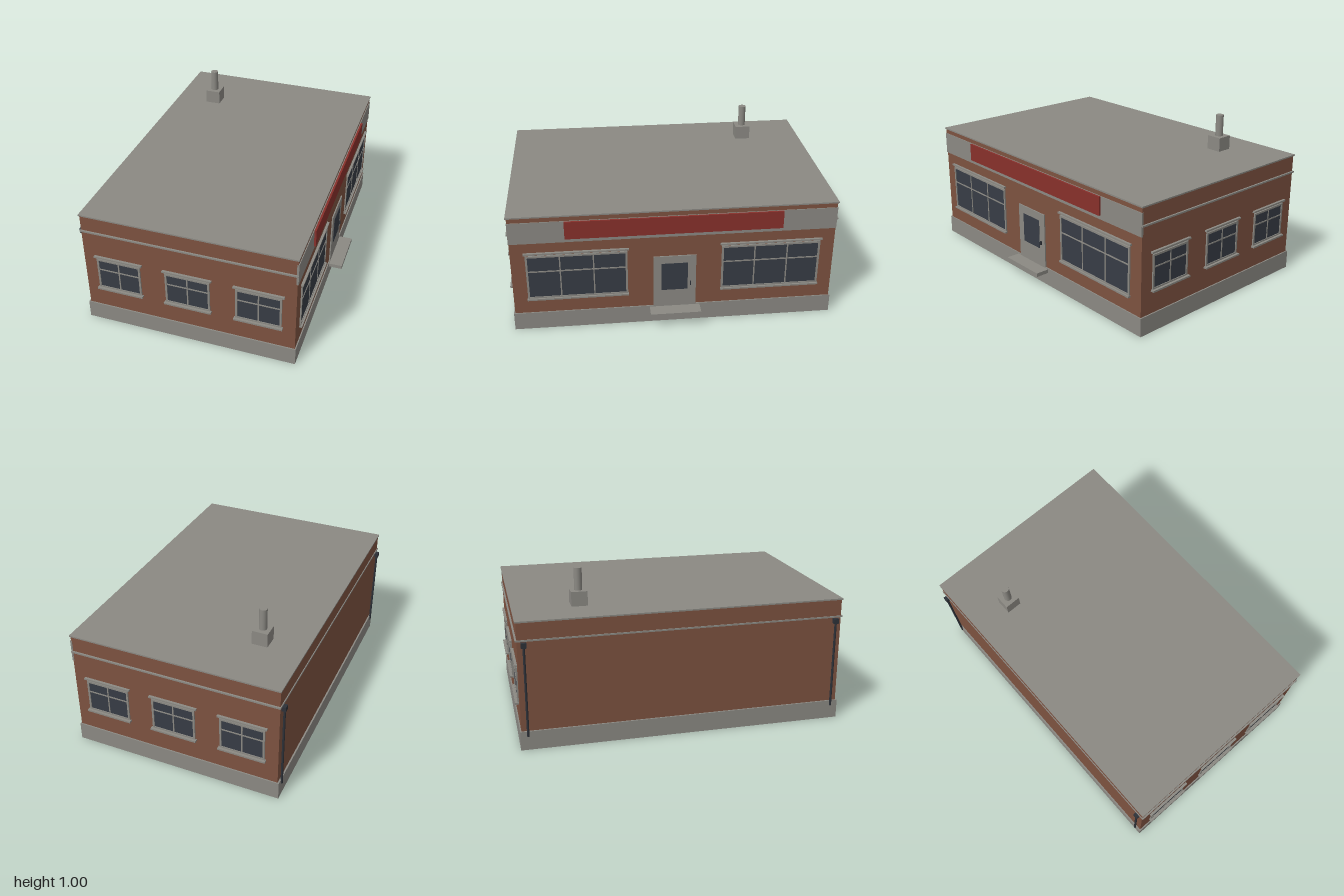
import * as THREE from 'three';

const mat = (name, color) => {
  const m = new THREE.MeshStandardMaterial({ color });
  m.name = name;
  return m;
};

export function createModel() {
  const brick = mat('brick', 0x7d5240);
  const stone = mat('stone', 0x8b8983);
  const red = mat('signRed', 0x88302b);
  const glass = mat('darkGlass', 0x373c45);
  const iron = mat('darkIron', 0x2d3138);

  const model = new THREE.Group();
  model.name = 'shopBuilding';

  // Box given by its extents along each axis
  const box = (parent, name, m, [x0, x1], [y0, y1], [z0, z1]) => {
    const mesh = new THREE.Mesh(new THREE.BoxGeometry(x1 - x0, y1 - y0, z1 - z0), m);
    mesh.position.set((x0 + x1) / 2, (y0 + y1) / 2, (z0 + z1) / 2);
    mesh.name = name;
    parent.add(mesh);
    return mesh;
  };

  // Main volume
  box(model, 'plinth', stone, [-0.7, 0.624], [0, 0.115], [-0.985, 0.985]);
  box(model, 'brickWalls', brick, [-0.69, 0.617], [0.115, 0.768], [-0.977, 0.977]);
  box(model, 'roofSlab', stone, [-0.695, 0.622], [0.768, 0.777], [-0.984, 0.984]);

  // String course on the three plain walls
  for (const s of [-1, 1]) {
    const z = s * 0.981;
    box(model, 'stringCourse', stone, [-0.695, 0.62], [0.658, 0.668], [z - 0.006, z + 0.006]);
  }
  box(model, 'stringCourseSide', stone, [-0.695, -0.685], [0.658, 0.668], [-0.985, 0.985]);

  // Fascia and blank sign board over the entrance
  box(model, 'fascia', stone, [0.61, 0.622], [0.6, 0.739], [-0.979, 0.979]);
  box(model, 'signBoard', red, [0.62, 0.634], [0.625, 0.738], [-0.65, 0.65]);

  // Window facing +z, wall plane at z = 0, centred on x = 0
  const makeWindow = ({ w, y0, y1, bars, rail, lintel, sill, sillDepth }) => {
    const g = new THREE.Group();
    g.name = 'window';
    const h = w / 2, t = 0.012, f = [-0.005, 0.008];
    box(g, 'windowGlass', glass, [-h + 0.004, h - 0.004], [y0 + 0.004, y1 - 0.004], [-0.004, 0.003]);
    for (const s of [-1, 1]) {
      const x = s * (h - t / 2);
      box(g, 'frameSide', stone, [x - t / 2, x + t / 2], [y0, y1], f);
    }
    box(g, 'frameTop', stone, [-h, h], [y1 - t, y1], f);
    box(g, 'frameBottom', stone, [-h, h], [y0, y0 + t], f);
    for (const x of bars) box(g, 'mullion', stone, [x - 0.004, x + 0.004], [y0, y1], [-0.004, 0.006]);
    box(g, 'transom', stone, [-h, h], [rail - 0.004, rail + 0.004], [-0.004, 0.006]);
    box(g, 'lintel', stone, [-lintel, lintel], [y1 + 0.01, y1 + 0.021], [-0.005, 0.015]);
    box(g, 'sill', stone, [-sill, sill], [y0 - 0.008, y0 + 0.003], [-0.005, sillDepth]);
    return g;
  };

  // Three small windows on the front and back walls
  for (const s of [-1, 1]) {
    for (const x of [-0.47, -0.037, 0.396]) {
      const win = makeWindow({
        w: 0.277, y0: 0.26, y1: 0.475, bars: [0], rail: 0.397,
        lintel: 0.152, sill: 0.147, sillDepth: 0.023,
      });
      win.position.set(x, 0, s * 0.977);
      if (s < 0) win.rotation.y = Math.PI;
      model.add(win);
    }
  }

  // Two wide shop windows either side of the door
  for (const s of [-1, 1]) {
    const win = makeWindow({
      w: 0.605, y0: 0.217, y1: 0.515, bars: [-0.1, 0.1], rail: 0.405,
      lintel: 0.312, sill: 0.306, sillDepth: 0.018,
    });
    win.name = 'shopWindow';
    win.position.set(0.617, 0, s * 0.588);
    win.rotation.y = Math.PI / 2;
    model.add(win);
  }

  // Door, glazing, handle and step
  box(model, 'door', stone, [0.61, 0.625], [0.108, 0.465], [-0.13, 0.13]);
  box(model, 'doorGlass', glass, [0.621, 0.627], [0.228, 0.415], [-0.079, 0.081]);
  box(model, 'doorHandle', iron, [0.622, 0.634], [0.258, 0.284], [-0.1, -0.094]);
  box(model, 'doorStep', stone, [0.61, 0.71], [0.085, 0.109], [-0.155, 0.155]);

  // Chimney block and flue
  box(model, 'chimneyBlock', stone, [-0.478, -0.381], [0.775, 0.865], [-0.637, -0.54]);
  const flue = new THREE.Mesh(new THREE.CylinderGeometry(0.024, 0.024, 0.137, 16), stone);
  flue.position.set(-0.43, 0.9315, -0.588);
  flue.name = 'chimneyFlue';
  model.add(flue);

  // Downpipes with hopper heads on the left wall
  for (const s of [-1, 1]) {
    const z = s * 0.94;
    const pipe = new THREE.Mesh(new THREE.CylinderGeometry(0.007, 0.007, 0.55, 10), iron);
    pipe.position.set(-0.702, 0.36, z);
    pipe.name = 'downpipe';
    model.add(pipe);
    box(model, 'hopperHead', iron, [-0.714, -0.688], [0.624, 0.654], [z - 0.016, z + 0.016]);
  }

  return model;
}
